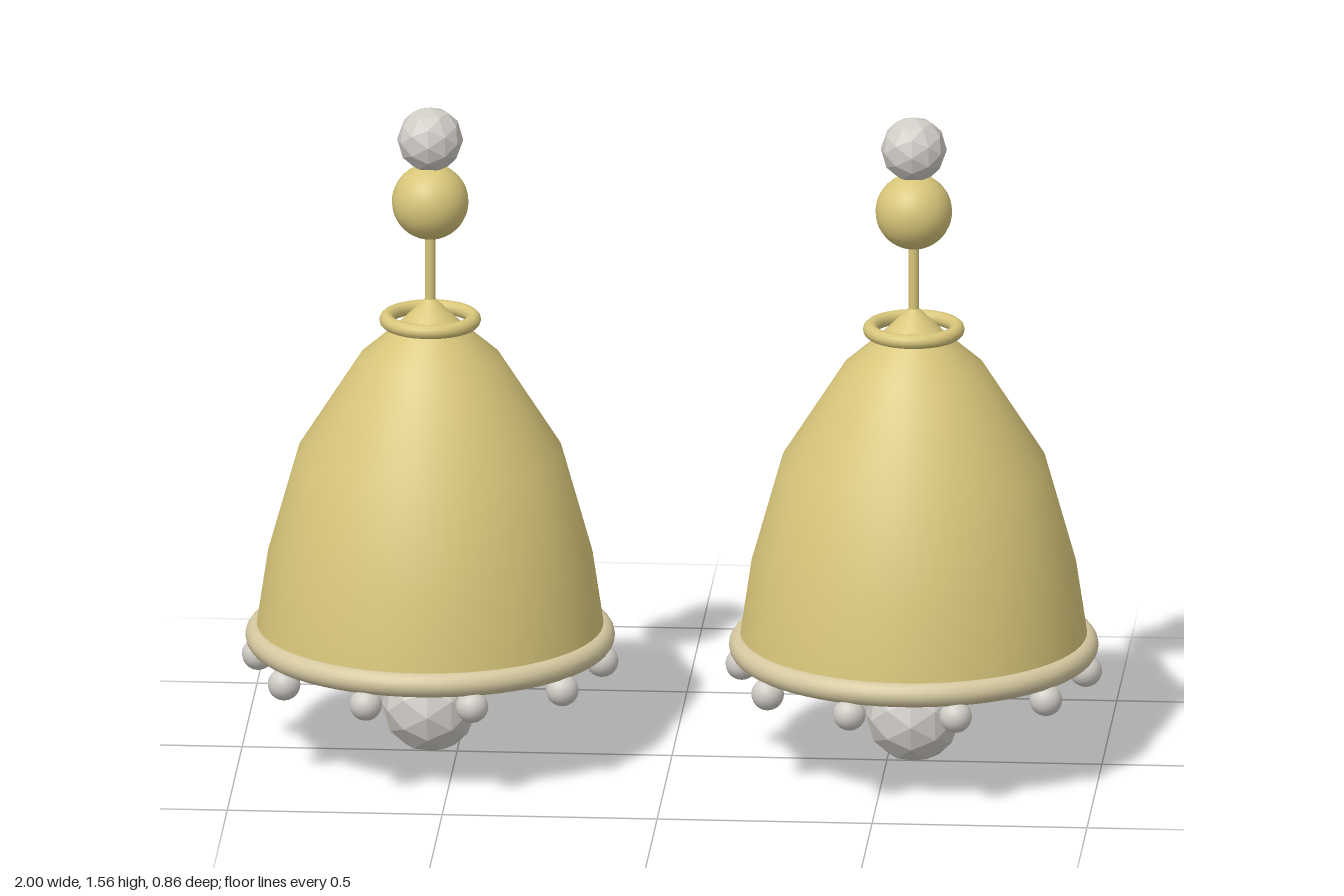
import * as THREE from 'three';

export function createModel() {
  const gold = new THREE.MeshStandardMaterial({ color: 0xd8c67a, side: THREE.DoubleSide });
  gold.name = 'gold';
  const paleGold = new THREE.MeshStandardMaterial({ color: 0xd5c8a0 });
  paleGold.name = 'pale gold';
  const crystal = new THREE.MeshStandardMaterial({ color: 0xd0ccc6, flatShading: true });
  crystal.name = 'crystal';
  const pearl = new THREE.MeshStandardMaterial({ color: 0xd0ccc6 });
  pearl.name = 'pearl';

  // Bell outline from rim to peak
  const profile = [
    [0.405, 0.283], [0.402, 0.315], [0.377, 0.482], [0.306, 0.735],
    [0.163, 0.96], [0.076, 1.036], [0.012, 1.1], [0, 1.1],
  ].map(([r, y]) => new THREE.Vector2(r, y));

  const geo = {
    bell: new THREE.LatheGeometry(profile, 64),
    rim: new THREE.TorusGeometry(0.4, 0.029, 16, 64).rotateX(Math.PI / 2),
    collar: new THREE.TorusGeometry(0.101, 0.017, 12, 48).rotateX(Math.PI / 2),
    rod: new THREE.CylinderGeometry(0.0125, 0.0125, 0.2, 16),
    ball: new THREE.SphereGeometry(0.089, 32, 24),
    topGem: new THREE.IcosahedronGeometry(0.077, 1),
    dropGem: new THREE.IcosahedronGeometry(0.112, 1),
    bead: new THREE.SphereGeometry(0.038, 20, 14),
  };

  function add(parent, name, geometry, material, x, y, z) {
    const mesh = new THREE.Mesh(geometry, material);
    mesh.name = name;
    mesh.position.set(x, y, z);
    parent.add(mesh);
  }

  function earring(name, x) {
    const g = new THREE.Group();
    g.name = name;
    g.position.x = x;

    // Bell with its rim and collar
    add(g, 'bell', geo.bell, gold, 0, 0, 0);
    add(g, 'rim', geo.rim, paleGold, 0, 0.284, 0);
    add(g, 'collar', geo.collar, gold, 0, 1.049, 0);

    // Stem, ball and stud gem
    add(g, 'rod', geo.rod, gold, 0, 1.17, 0);
    add(g, 'ball', geo.ball, gold, 0, 1.335, 0);
    add(g, 'topGem', geo.topGem, crystal, 0, 1.486, 0);

    // Hanging gem and ring of beads under the rim
    add(g, 'dropGem', geo.dropGem, crystal, 0, 0.113, 0);
    const beads = new THREE.Group();
    beads.name = 'beads';
    for (let i = 0; i < 10; i++) {
      const a = (i / 10) * Math.PI * 2;
      add(beads, 'bead', geo.bead, pearl, Math.cos(a) * 0.4, 0.228, Math.sin(a) * 0.4);
    }
    g.add(beads);
    return g;
  }

  const model = new THREE.Group();
  model.name = 'bellEarrings';
  model.add(earring('leftEarring', 0.5625), earring('rightEarring', -0.5625));
  return model;
}
